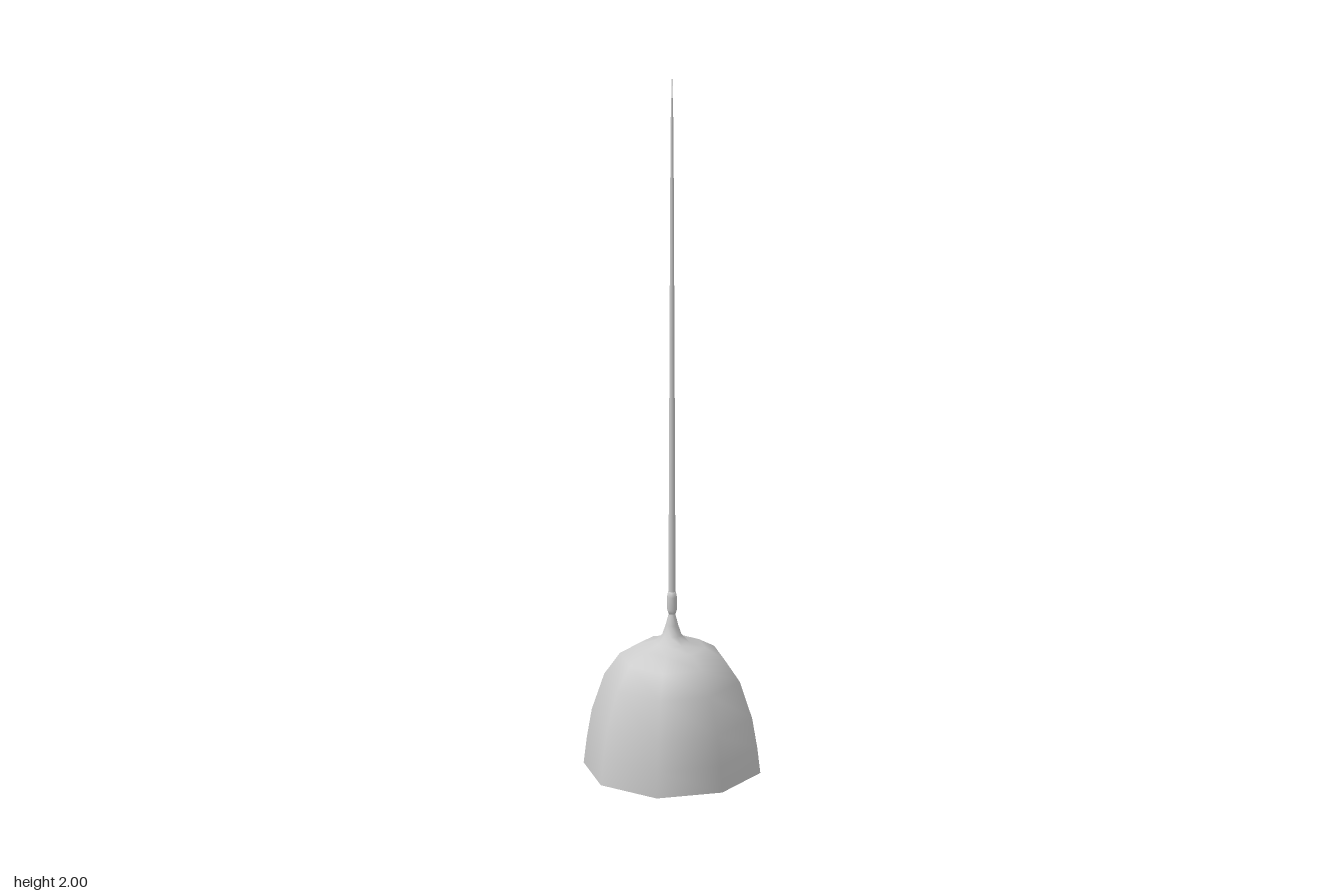
import * as THREE from 'three';

const material = new THREE.MeshStandardMaterial({ color: 0xcccccc });
const doubleSided = new THREE.MeshStandardMaterial({ color: 0xcccccc, side: THREE.DoubleSide });

// Revolve [radius, height] pairs around the y axis with eight sides
function lathe(name, profile, mat = material) {
  const points = profile.map(([r, y]) => new THREE.Vector2(r, y));
  const mesh = new THREE.Mesh(new THREE.LatheGeometry(points, 8), mat);
  mesh.name = name;
  return mesh;
}

// Push the diagonal corners of an eight-sided lathe slightly outward
function widenDiagonals(geometry) {
  const p = geometry.attributes.position;
  for (let i = 0; i < p.count; i++) {
    const x = p.getX(i), z = p.getZ(i);
    const k = 1 + 0.028 * Math.abs(Math.sin(2 * Math.atan2(x, z)));
    p.setX(i, x * k);
    p.setZ(i, z * k);
  }
}

export function createModel() {
  const lamp = new THREE.Group();
  lamp.name = 'pendantLamp';

  // Bell-shaped shade: down the inside, round a thin lip and up the outside
  const shade = lathe('shade', [
    [0, 0.398], [0.081, 0.392], [0.129, 0.363], [0.168, 0.305],
    [0.2, 0.208], [0.213, 0.13], [0.224, 0.06],
    [0.227, 0.06], [0.219, 0.13], [0.206, 0.21], [0.174, 0.31], [0.134, 0.37],
    [0.085, 0.399], [0.045, 0.411], [0.025, 0.43], [0.016, 0.458], [0.008, 0.49],
  ], doubleSided);
  widenDiagonals(shade.geometry);
  lamp.add(shade);

  // Bulb hanging in the mouth of the shade
  const bulb = new THREE.Mesh(new THREE.SphereGeometry(0.08, 24, 16), material);
  bulb.name = 'bulb';
  bulb.position.y = 0.08;
  lamp.add(bulb);

  // Ferrule joining the shade to the cord
  lamp.add(lathe('ferrule', [
    [0, 0.486], [0.009, 0.488], [0.013, 0.5], [0.013, 0.535], [0.01, 0.55], [0, 0.552],
  ]));

  // Long cord tapering to a point at the ceiling
  lamp.add(lathe('cord', [
    [0.0095, 0.54], [0.009, 0.66], [0.0066, 1.25], [0.004, 1.84], [0, 2],
  ]));

  return lamp;
}
